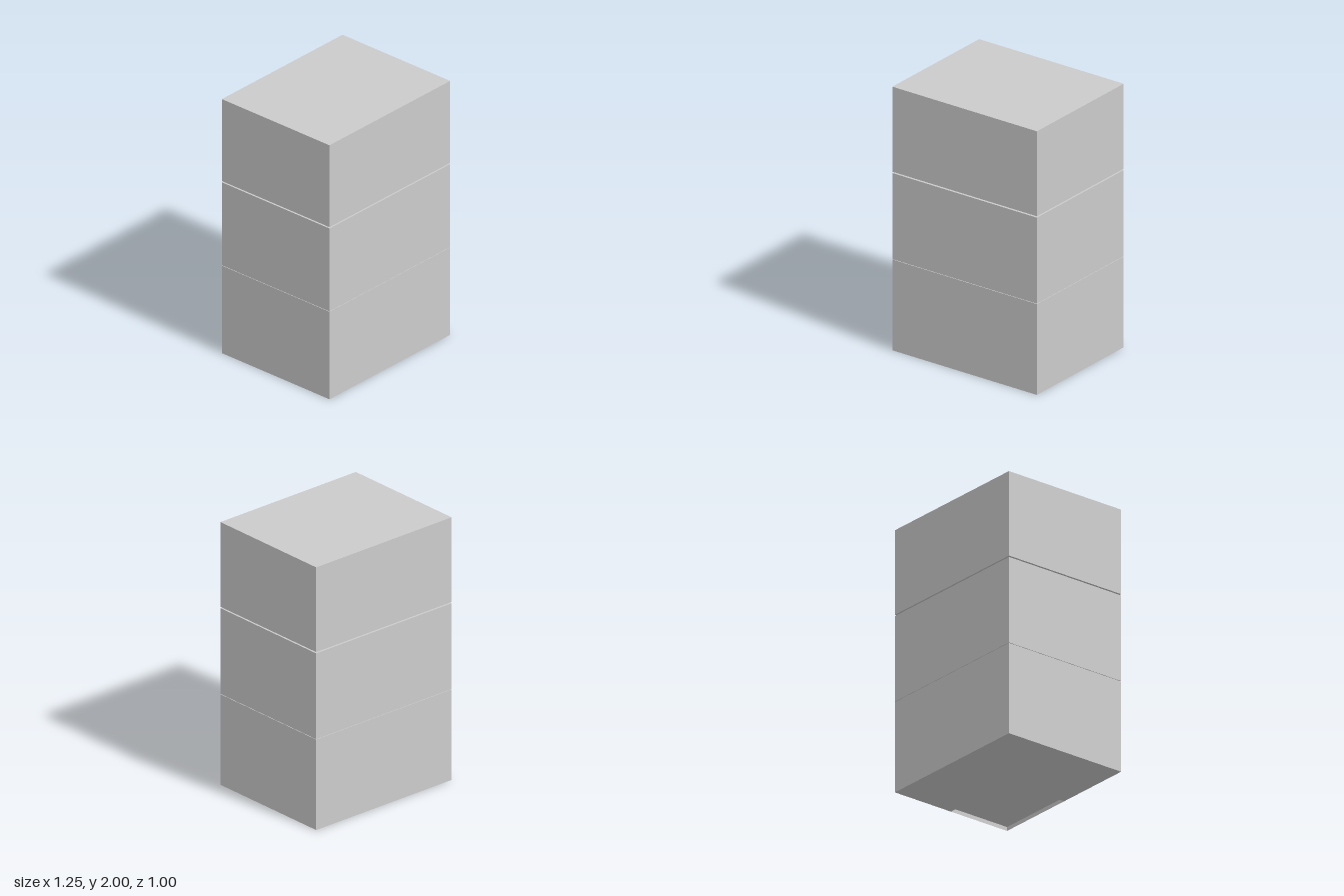
import * as THREE from 'three';

const W = 1.25, D = 1, RECESS = 0.03;

export function createModel() {
  const group = new THREE.Group();
  const grey = new THREE.MeshStandardMaterial({ color: 0xcccccc });
  const thin = new THREE.MeshStandardMaterial({ color: 0xcccccc, side: THREE.DoubleSide });

  const add = (name, geometry, material = grey) => {
    const mesh = new THREE.Mesh(geometry, material);
    mesh.name = name;
    group.add(mesh);
    return mesh;
  };

  // Stacked blocks, separated by narrow gaps
  const blocks = [
    ['lowerBlock', RECESS, 0.689],
    ['middleBlock', 0.692, 1.345],
    ['upperBlock', 1.355, 2],
  ];
  for (const [name, y0, y1] of blocks) {
    add(name, new THREE.BoxGeometry(W, y1 - y0, D)).position.y = (y0 + y1) / 2;
  }

  // L-shaped underside, leaving the front left quarter recessed
  const x = W / 2, z = D / 2;
  const outline = new THREE.Shape(
    [[-x, -z], [0, -z], [0, 0], [x, 0], [x, z], [-x, z]].map(([a, b]) => new THREE.Vector2(a, b))
  );
  const base = new THREE.ExtrudeGeometry(outline, { depth: RECESS, bevelEnabled: false });
  base.rotateX(-Math.PI / 2);
  add('underside', base);

  // Thin outer walls around the recess
  add('recessFrontWall', new THREE.PlaneGeometry(x, RECESS), thin).position.set(x / 2, RECESS / 2, z);
  const side = add('recessSideWall', new THREE.PlaneGeometry(z, RECESS), thin);
  side.rotation.y = Math.PI / 2;
  side.position.set(x, RECESS / 2, z / 2);

  return group;
}
